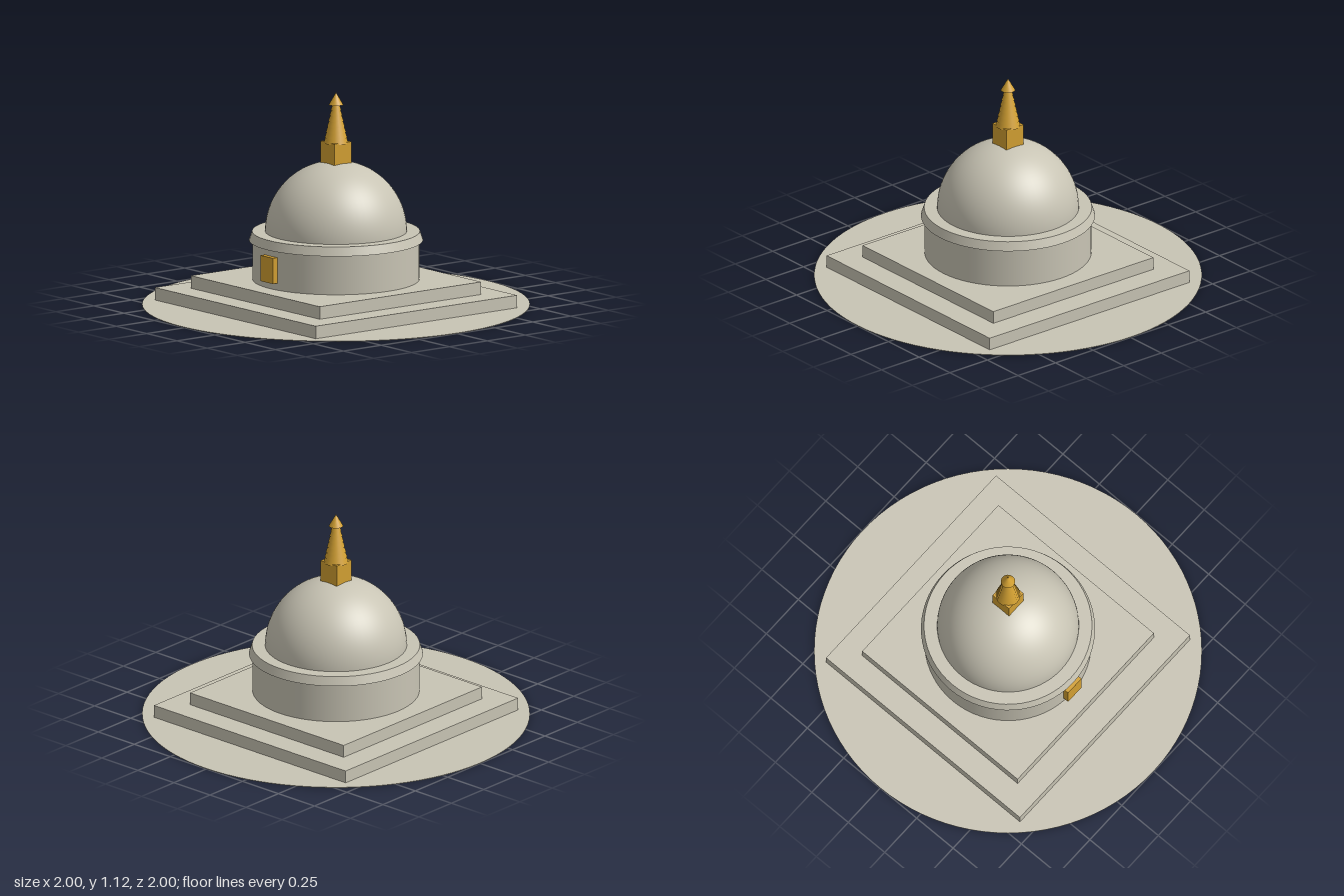
import * as THREE from 'three';

export function createModel() {
  const model = new THREE.Group();
  model.name = 'domedShrine';

  const stone = new THREE.MeshStandardMaterial({ color: 0xc8c4b4 });
  stone.name = 'pale stone';
  const gold = new THREE.MeshStandardMaterial({ color: 0xd2a032 });
  gold.name = 'gold';

  const add = (name, geometry, material, y, z = 0, parent = model) => {
    const mesh = new THREE.Mesh(geometry, material);
    mesh.name = name;
    mesh.position.set(0, y, z);
    parent.add(mesh);
    return mesh;
  };
  // Solid of revolution standing on y0
  const frustum = (name, rBottom, rTop, y0, y1, material, sides = 64, parent = model) =>
    add(name, new THREE.CylinderGeometry(rTop, rBottom, y1 - y0, sides), material, (y0 + y1) / 2, 0, parent);
  // Square block standing on y0
  const block = (name, width, y0, y1, material) =>
    add(name, new THREE.BoxGeometry(width, y1 - y0, width), material, (y0 + y1) / 2);

  // Round ground slab and two square terraces
  frustum('groundDisc', 1, 1, 0, 0.003, stone, 96);
  block('lowerTerrace', 1.33, 0.002, 0.069, stone);
  block('upperTerrace', 1.066, 0.069, 0.135, stone);

  // Drum with a sloping cornice
  frustum('drum', 0.431, 0.431, 0.135, 0.342, stone);
  frustum('cornice', 0.449, 0.433, 0.34, 0.387, stone);

  // Half-sphere dome
  add('dome', new THREE.SphereGeometry(0.366, 64, 24, 0, Math.PI * 2, 0, Math.PI / 2), stone, 0.387);

  // Door panel on the front of the drum
  add('door', new THREE.BoxGeometry(0.104, 0.135, 0.04), gold, 0.239, 0.438);

  // Square block above the dome
  block('spireBase', 0.113, 0.745, 0.858, gold);

  // Tapering stack of flared rings
  const spire = new THREE.Group();
  spire.name = 'spire';
  model.add(spire);
  const rings = 7;
  const step = 0.029;
  for (let i = 0; i < rings; i++) {
    const r = 0.064 - i * 0.0062;
    const y = 0.85 + i * step;
    frustum('spireRing', r, r - 0.01, y, y + step, gold, 24, spire);
  }
  // Pointed cap
  add('spireCap', new THREE.ConeGeometry(0.037, 0.065, 24), gold, 1.083, 0, spire);

  return model;
}
